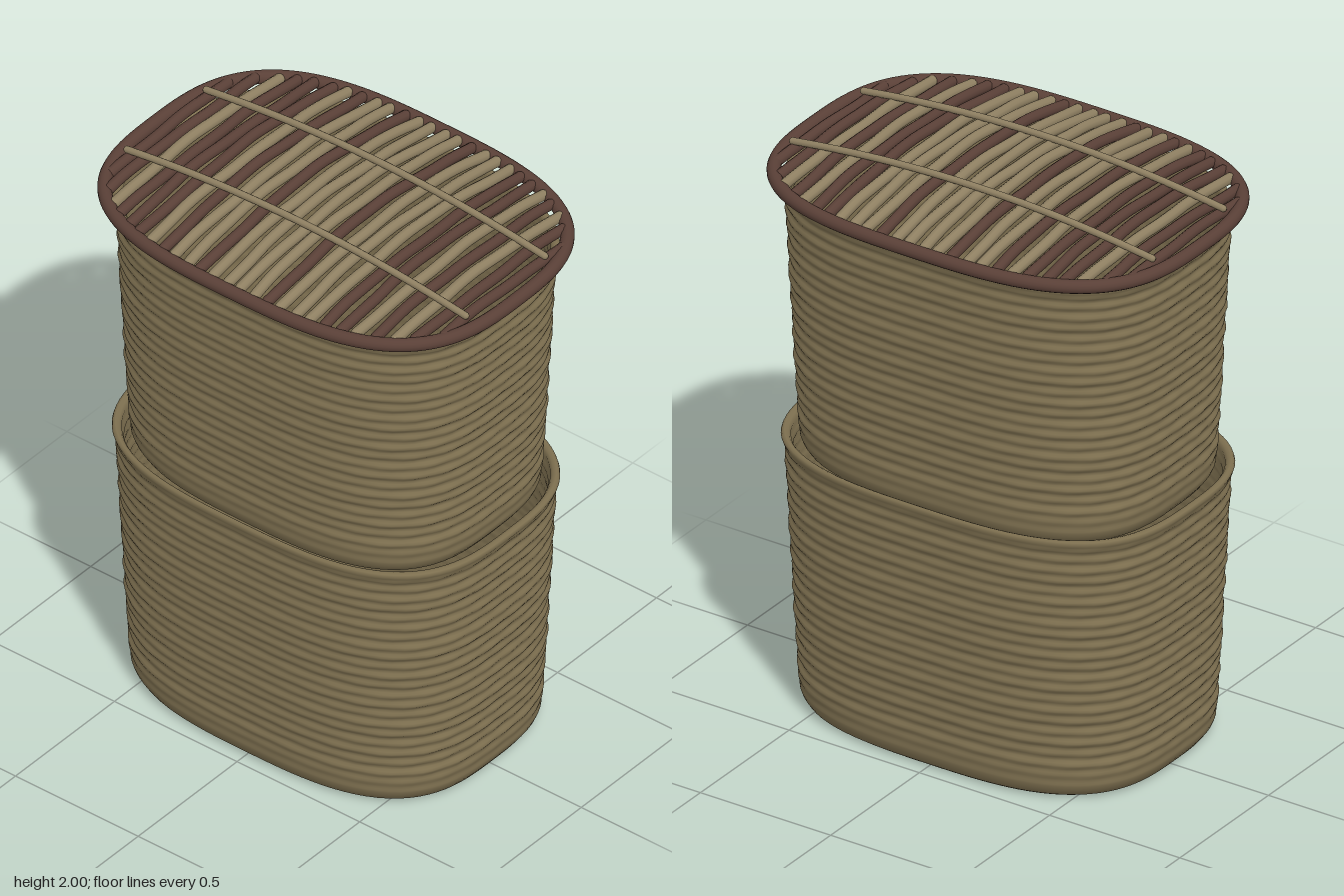
import * as THREE from 'three';

const N = 3;          // superellipse power of the plan shape
const DEPTH = 0.715;  // depth / width ratio
const SEG = 112;

const mat = (color) => new THREE.MeshStandardMaterial({ color, side: THREE.DoubleSide });
const olive = mat(0x7e7050), brown = mat(0x5a4037), straw = mat(0x8f8062);

// Unit superellipse radius at an angle
const plan = (a) => 1 / Math.pow(Math.abs(Math.cos(a)) ** N + Math.abs(Math.sin(a)) ** N, 1 / N);

// Coil heights that vary irregularly up the wall
const ripple = (y) => 0.0045 * Math.sin(y * 157) + 0.0018 * Math.sin(y * 61 + 1) + 0.001 * Math.sin(y * 23);

// Closed skin through [halfWidth, y, weave] rings of the plan shape
function ringSkin(rings) {
  const pos = [], idx = [];
  rings.forEach(([w, y, weave = 0]) => {
    for (let i = 0; i < SEG; i++) {
      const a = (i / SEG) * Math.PI * 2;
      const r = w + weave * (ripple(y) + 0.0012 * Math.sin(a * 28 + y * 80));
      pos.push(r * plan(a) * Math.cos(a), y, r * DEPTH * plan(a) * Math.sin(a));
    }
  });
  for (let j = 0; j < rings.length - 1; j++) {
    for (let i = 0; i < SEG; i++) {
      const k = (i + 1) % SEG, a = j * SEG + i, b = j * SEG + k;
      idx.push(a, a + SEG, b, b, a + SEG, b + SEG);
    }
  }
  const g = new THREE.BufferGeometry();
  g.setAttribute('position', new THREE.Float32BufferAttribute(pos, 3));
  g.setIndex(idx);
  g.computeVertexNormals();
  return g;
}

// Coiled open basket with a rounded base and a rolled lip
function basketGeometry() {
  const rings = [[0.001, 0], [0.3, 0], [0.58, 0], [0.615, 0.002], [0.638, 0.014], [0.652, 0.034]];
  const wall = 120;
  for (let i = 0; i <= wall; i++) {
    const t = i / wall;
    rings.push([0.658 + 0.046 * t, 0.05 + 0.885 * t, Math.min(1, t * 12)]);
  }
  rings.push([0.714, 0.943], [0.718, 0.953], [0.715, 0.962], [0.706, 0.966], [0.694, 0.962], [0.686, 0.95]);
  for (let i = wall; i >= 0; i -= 2) {
    const t = i / wall;
    rings.push([0.637 + 0.046 * t, 0.05 + 0.885 * t, 0.7]);
  }
  rings.push([0.6, 0.026], [0.3, 0.024], [0.001, 0.024]);
  return ringSkin(rings);
}

// Rod along a smooth path with rounded ends
function rod(name, points, radius, material) {
  const g = new THREE.Group();
  g.name = name;
  const path = new THREE.CatmullRomCurve3(points);
  g.add(new THREE.Mesh(new THREE.TubeGeometry(path, 28, radius, 10), material));
  for (const p of [points[0], points[points.length - 1]]) {
    const cap = new THREE.Mesh(new THREE.SphereGeometry(radius, 10, 8), material);
    cap.position.copy(p);
    g.add(cap);
  }
  g.children.forEach((m) => { m.name = name; });
  return g;
}

function createLid() {
  const lid = new THREE.Group();
  lid.name = 'lid';
  const A = 0.736, B = 0.538, BASE = 1.909;

  // Thick hoop around the edge
  const loop = [];
  for (let i = 0; i < 64; i++) {
    const a = (i / 64) * Math.PI * 2;
    loop.push(new THREE.Vector3(A * plan(a) * Math.cos(a), 1.905, B * plan(a) * Math.sin(a)));
  }
  const hoop = new THREE.Mesh(
    new THREE.TubeGeometry(new THREE.CatmullRomCurve3(loop, true), 160, 0.023, 14, true), brown);
  hoop.name = 'lidHoop';
  lid.add(hoop);

  // Domed row of slats, slightly wavy, D = dark and L = light
  const reach = (x) => B * Math.pow(1 - Math.abs(x / A) ** N, 1 / N);
  const dome = (x, z) => BASE + 0.064 * (1 - (x / A) ** 2) * (1 - (z / reach(x)) ** 2);
  [...'DDLDDDLDLLDLLLLDLLLDDLDLDD'].forEach((c, i) => {
    const x = -0.68 + 0.0544 * i, end = reach(x) - 0.022, pts = [];
    for (let j = 0; j <= 10; j++) {
      const z = end * (j / 5 - 1);
      const sway = 0.004 * Math.sin(z * 9 + i * 2.4) + 0.002 * Math.sin(z * 21 + i * 5.1);
      pts.push(new THREE.Vector3(x + sway, dome(x, z), z));
    }
    lid.add(rod('lidSlat', pts, 0.0185, c === 'D' ? brown : straw));
  });

  // Two long binding rods across the slats
  for (const z of [-0.2, 0.2]) {
    const pts = [];
    for (let j = 0; j <= 12; j++) {
      const x = 0.69 * (j / 6 - 1);
      pts.push(new THREE.Vector3(x, dome(x, z) + 0.024, z));
    }
    lid.add(rod('bindingRod', pts, 0.012, straw));
  }
  return lid;
}

export function createModel() {
  const model = new THREE.Group();
  model.name = 'stackedBaskets';

  // Identical baskets, the upper one nested in the lower one's mouth
  const geometry = basketGeometry();
  [['lowerBasket', 0], ['upperBasket', 0.915]].forEach(([name, y]) => {
    const basket = new THREE.Mesh(geometry, olive);
    basket.name = name;
    basket.position.y = y;
    model.add(basket);
  });

  model.add(createLid());
  return model;
}
